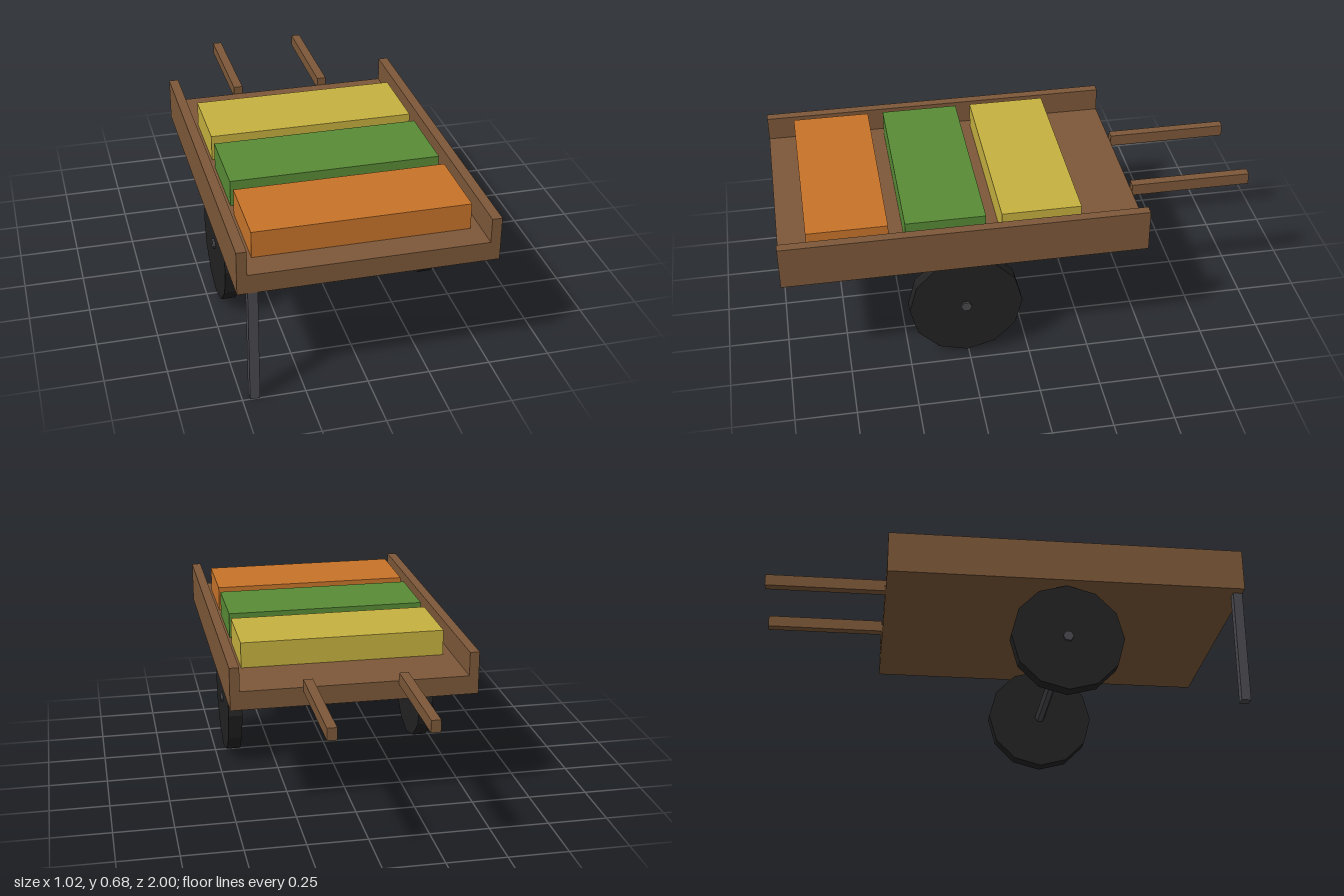
import * as THREE from 'three';

const mat = (name, color) => {
  const m = new THREE.MeshStandardMaterial({ color });
  m.name = name;
  return m;
};

export function createModel() {
  const cart = new THREE.Group();
  cart.name = 'handcart';

  const wood = mat('wood', 0x7d5839);
  const iron = mat('iron', 0x4a4a4f);
  const tyre = mat('black', 0x222222);
  const orange = mat('orange', 0xc8742a);
  const green = mat('green', 0x588b36);
  const yellow = mat('yellow', 0xc6b13f);

  const add = (name, geometry, material, x, y, z) => {
    const mesh = new THREE.Mesh(geometry, material);
    mesh.name = name;
    mesh.position.set(x, y, z);
    cart.add(mesh);
    return mesh;
  };
  // Box given by its limits on each axis
  const box = (name, material, [x0, x1], [y0, y1], [z0, z1]) =>
    add(name, new THREE.BoxGeometry(x1 - x0, y1 - y0, z1 - z0), material,
      (x0 + x1) / 2, (y0 + y1) / 2, (z0 + z1) / 2);
  // Faceted cylinder lying along x
  const disc = (name, material, radius, length, sides, x) => {
    const g = new THREE.CylinderGeometry(radius, radius, length, sides).toNonIndexed();
    g.rotateZ(Math.PI / 2);
    g.computeVertexNormals();
    return add(name, g, material, x, 0.252, 0.258);
  };

  // Bed with a raised rail on each side, open at both ends
  const section = new THREE.Shape([
    [-0.51, 0.487], [0.51, 0.487], [0.51, 0.667], [0.47, 0.667],
    [0.47, 0.566], [-0.47, 0.566], [-0.47, 0.667], [-0.51, 0.667],
  ].map(([x, y]) => new THREE.Vector2(x, y)));
  add('bed', new THREE.ExtrudeGeometry(section, { depth: 1.49, bevelEnabled: false }),
    wood, 0, 0, -0.49);

  // Crates of produce
  [['yellowCrate', yellow, -0.06], ['greenCrate', green, 0.33], ['orangeCrate', orange, 0.722]]
    .forEach(([name, m, z]) =>
      box(name, m, [-0.43, 0.43], [0.566, 0.675], [z - 0.163, z + 0.163]));

  // Axle, wheels and push handles
  disc('axle', iron, 0.0225, 0.94, 6, 0);
  for (const [side, s] of [['left', 1], ['right', -1]]) {
    disc(side + 'Wheel', tyre, 0.235, 0.06, 12, s * 0.43);
    const x = s * 0.196;
    box(side + 'Handle', wood, [x - 0.0195, x + 0.0195], [0.55, 0.6], [-1, -0.49]);
  }

  // Single prop leg at the front corner
  box('propLeg', iron, [-0.47, -0.431], [0, 0.487], [0.961, 1]);

  return cart;
}
